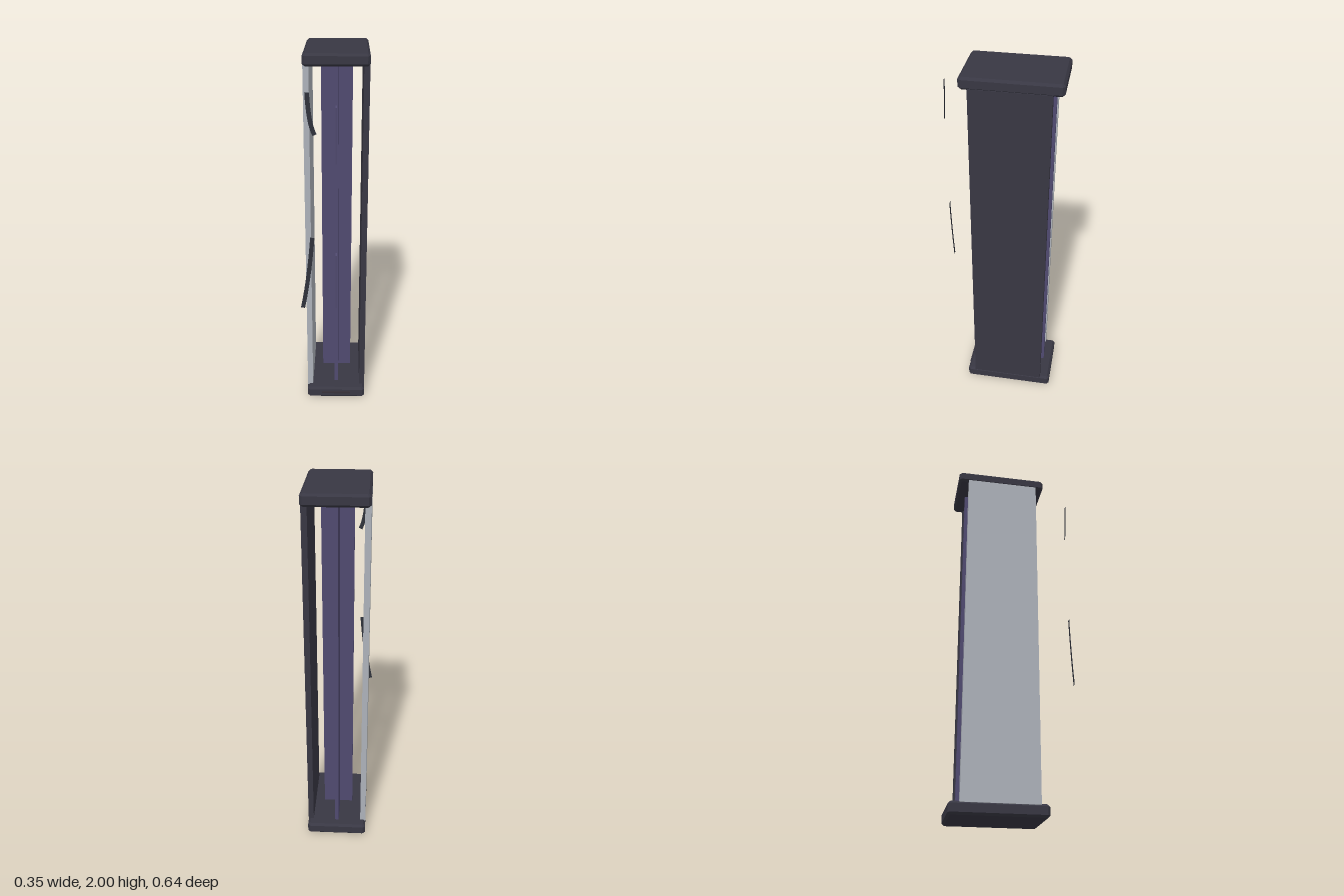
import * as THREE from 'three';

const mat = (name, color, side = THREE.FrontSide) => {
  const m = new THREE.MeshStandardMaterial({ color, side });
  m.name = name;
  return m;
};

export function createModel() {
  const group = new THREE.Group();
  const dark = mat('dark casing', 0x383743);
  const grey = mat('pale grey panel', 0xadb2ba);
  const purple = mat('purple core', 0x504a70, THREE.DoubleSide);
  const trim = mat('dark trim', 0x37323a);
  const strandMat = mat('strand', 0x2f323b, THREE.DoubleSide);

  const add = (name, geometry, material) => {
    const mesh = new THREE.Mesh(geometry, material);
    mesh.name = name;
    group.add(mesh);
    return mesh;
  };

  // Box given by its lower and upper bounds on each axis
  const box = (name, material, [x0, x1], [y0, y1], [z0, z1]) =>
    add(name, new THREE.BoxGeometry(x1 - x0, y1 - y0, z1 - z0), material)
      .position.set((x0 + x1) / 2, (y0 + y1) / 2, (z0 + z1) / 2);

  // Chamfered end caps
  const cap = (name, y, height) => {
    const b = 0.012, w = 0.166 - b, d = 0.25 - b, c = 0.006;
    const shape = new THREE.Shape([
      [-w + c, -d], [w - c, -d], [w, -d + c], [w, d - c],
      [w - c, d], [-w + c, d], [-w, d - c], [-w, -d + c],
    ].map(([px, py]) => new THREE.Vector2(px, py)));
    const geometry = new THREE.ExtrudeGeometry(shape, {
      depth: height - 2 * b, bevelEnabled: true, bevelSegments: 1, bevelSize: b, bevelThickness: b,
    });
    geometry.rotateX(-Math.PI / 2);
    add(name, geometry, dark).position.set(0.009, y + b, -0.07);
  };
  cap('bottomCap', 0, 0.066);
  cap('topCap', 1.937, 0.063);
  box('frontTrim', trim, [-0.074, 0.092], [0.032, 0.044], [0.176, 0.185]);

  // Side panels
  const panelZ = [-0.265, 0.135], innerY = [0.06, 1.945];
  box('rightPanel', grey, [-0.157, -0.127], innerY, panelZ);
  box('leftPanel', dark, [0.145, 0.175], innerY, panelZ);

  // Crossed core plates
  box('coreFin', purple, [-0.001, 0.019], innerY, [-0.27, 0.1]);
  box('corePlate', purple, [-0.074, 0.092], innerY, [-0.095, -0.075]);

  // Slim shards on the front edge of the fin
  for (const [top, bottom] of [[0.91, 0.56], [1.73, 1.42]]) {
    const shape = new THREE.Shape();
    shape.moveTo(0, bottom);
    shape.lineTo(0, top);
    shape.lineTo(-0.03, top - 0.005);
    const geometry = new THREE.ExtrudeGeometry(shape, { depth: 0.008, bevelEnabled: false });
    geometry.rotateY(Math.PI / 2);
    add('finShard', geometry, purple).position.set(0.005, 0, 0.1);
  }

  // Flat curved strands floating in front
  const strand = (name, a, control, b) => {
    const curve = new THREE.QuadraticBezierCurve(
      new THREE.Vector2(...a), new THREE.Vector2(...control), new THREE.Vector2(...b));
    const side = (offset) => Array.from({ length: 11 }, (_, i) => {
      const t = curve.getTangent(i / 10);
      return curve.getPoint(i / 10).add(new THREE.Vector2(-t.y, t.x).multiplyScalar(offset));
    });
    const shape = new THREE.Shape([...side(0.011), ...side(-0.011).reverse()]);
    add(name, new THREE.ShapeGeometry(shape), strandMat).position.z = 0.32;
  };
  strand('upperStrand', [-0.127, 1.845], [-0.12, 1.69], [-0.092, 1.64]);
  strand('lowerStrand', [-0.11, 1.10], [-0.13, 0.86], [-0.165, 0.69]);

  return group;
}
